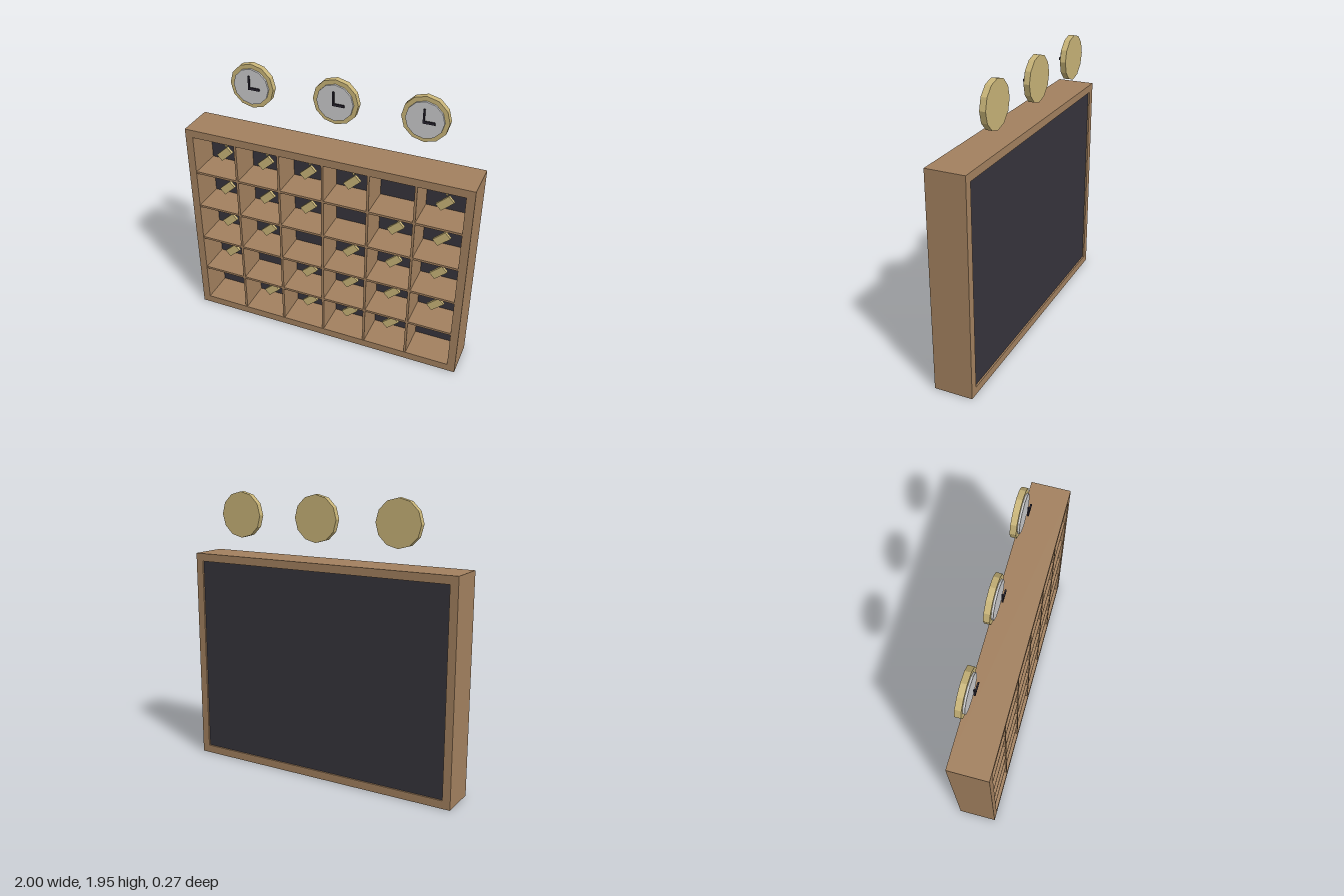
import * as THREE from 'three';

const material = (name, color) => {
  const m = new THREE.MeshStandardMaterial({ color });
  m.name = name;
  return m;
};

export function createModel() {
  const wood = material('wood', 0xa3815f);
  const dark = material('dark backing', 0x36343c);
  const brass = material('brass', 0xc8b478);
  const dial = material('dial grey', 0xcacacb);
  const ink = material('hand black', 0x282430);

  const model = new THREE.Group();
  model.name = 'keyRackWithClocks';

  const box = (parent, name, mat, w, h, d, x, y, z) => {
    const mesh = new THREE.Mesh(new THREE.BoxGeometry(w, h, d), mat);
    mesh.name = name;
    mesh.position.set(x, y, z);
    parent.add(mesh);
    return mesh;
  };

  const H = 1.505, D = 0.267, T = 0.055;
  const cols = 6, rows = 5;
  const innerW = 2 - 2 * T, innerH = H - 2 * T;
  const cw = innerW / cols, ch = innerH / rows;

  // Outer frame: one extruded rectangle with a rectangular hole
  const outline = new THREE.Shape([[-1, 0], [1, 0], [1, H], [-1, H]].map(p => new THREE.Vector2(...p)));
  const x1 = 1 - T, y1 = H - T;
  outline.holes.push(new THREE.Path([[-x1, T], [-x1, y1], [x1, y1], [x1, T]].map(p => new THREE.Vector2(...p))));
  const frame = new THREE.Mesh(new THREE.ExtrudeGeometry(outline, { depth: D, bevelEnabled: false }), wood);
  frame.name = 'frame';
  frame.position.z = -D / 2;
  model.add(frame);

  // Backing panel, slightly recessed from the rear
  box(model, 'backPanel', dark, innerW, innerH, 0.02, 0, H / 2, -0.112);

  // Dividers between the pigeonholes
  const dz = 0.23, zMid = 0.013;
  for (let c = 1; c < cols; c++) box(model, 'verticalDivider', wood, 0.016, innerH, dz, -x1 + c * cw, H / 2, zMid);
  for (let r = 1; r < rows; r++) box(model, 'shelf', wood, innerW, 0.016, dz, 0, T + r * ch, zMid);

  // Hanging key tags; a diagonal run of holes stays empty
  for (let r = 0; r < rows; r++) {
    for (let c = 0; c < cols; c++) {
      if ((r + c) % 5 === 4) continue;
      const key = new THREE.Group();
      key.name = 'key';
      key.position.set(-x1 + (c + 0.5) * cw, y1 - (r + 0.5) * ch, 0);
      box(key, 'hook', brass, 0.012, 0.06, 0.02, 0.002, 0.053, -0.03);
      box(key, 'tag', brass, 0.112, 0.056, 0.02, 0, -0.024, -0.006).rotation.z = Math.PI / 4.2;
      model.add(key);
    }
  }

  // Three wall clocks above the rack
  const disc = (parent, name, mat, radius, z0, z1) => {
    const g = new THREE.CylinderGeometry(radius, radius, z1 - z0, 12).toNonIndexed();
    g.rotateX(Math.PI / 2);
    g.computeVertexNormals();
    const mesh = new THREE.Mesh(g, mat);
    mesh.name = name;
    mesh.position.z = (z0 + z1) / 2;
    parent.add(mesh);
  };
  for (const x of [-0.594, 0, 0.594]) {
    const clock = new THREE.Group();
    clock.name = 'clock';
    clock.position.set(x, 1.795, 0);
    disc(clock, 'clockCase', brass, 0.156, -0.1335, -0.093);
    disc(clock, 'clockFace', dial, 0.126, -0.1, -0.08);
    box(clock, 'minuteHand', ink, 0.011, 0.096, 0.01, 0, 0.04, -0.057);
    box(clock, 'hourHand', ink, 0.08, 0.016, 0.01, 0.034, 0, -0.0572);
    model.add(clock);
  }

  return model;
}
